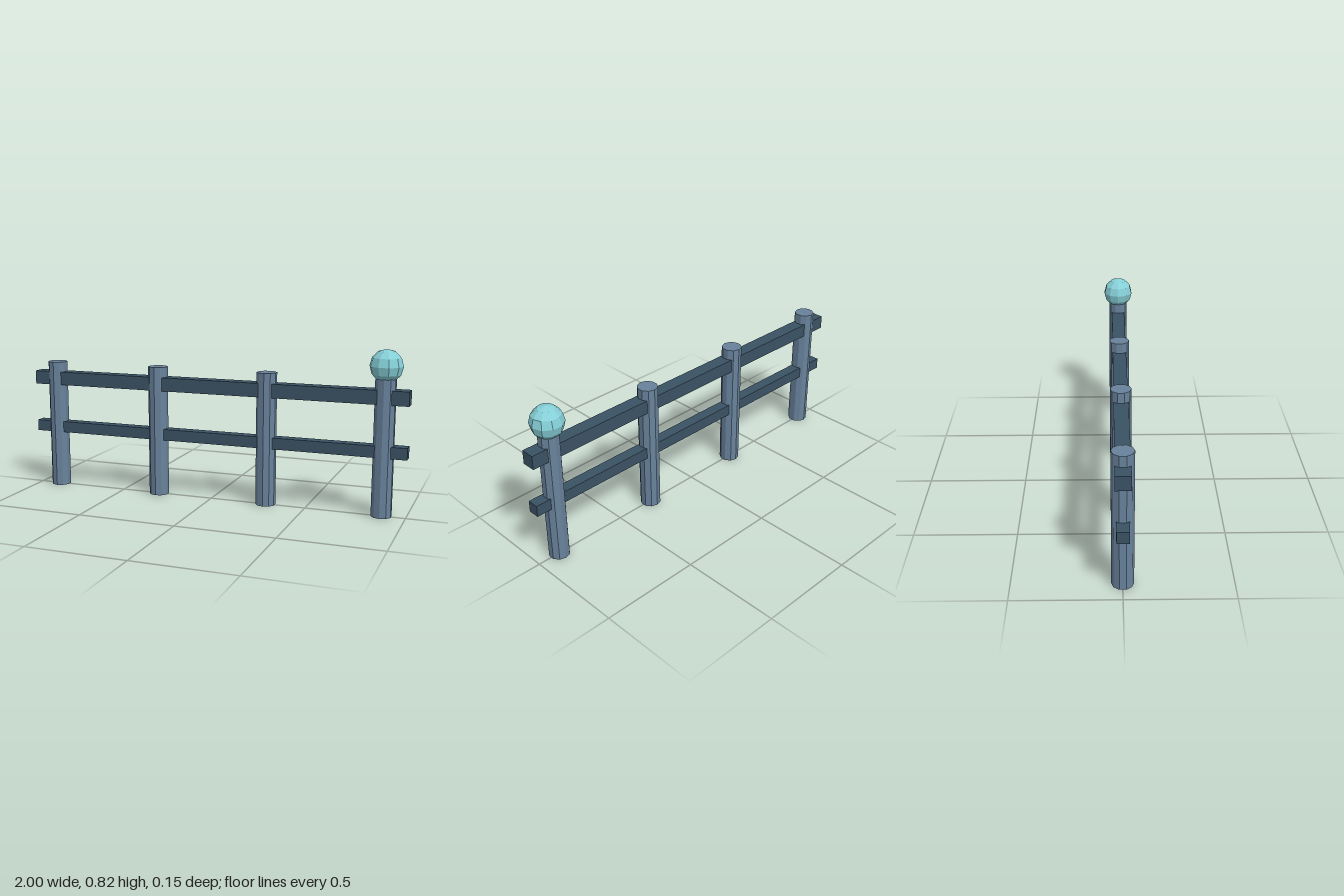
import * as THREE from 'three';

export function createModel() {
  const fence = new THREE.Group();
  fence.name = 'fence';

  const material = (name, color) => {
    const m = new THREE.MeshStandardMaterial({ color, flatShading: true });
    m.name = name;
    return m;
  };
  const postBlue = material('slate blue', 0x68829b);
  const railBlue = material('dark slate', 0x3a5264);
  const aqua = material('pale aqua', 0x86d0d8);

  const add = (name, geometry, mat, x, y) => {
    const mesh = new THREE.Mesh(geometry, mat);
    mesh.name = name;
    mesh.position.set(x, y, 0);
    fence.add(mesh);
  };

  // Four evenly spaced round posts
  const postHeight = 0.676;
  const spacing = 0.588;
  const postGeometry = new THREE.CylinderGeometry(0.051, 0.051, postHeight, 10);
  for (let i = 0; i < 4; i++) {
    add(`post${i + 1}`, postGeometry, postBlue, (i - 1.5) * spacing, postHeight / 2);
  }

  // Two square rails running through the posts
  add('upperRail', new THREE.BoxGeometry(2, 0.07, 0.07), railBlue, 0, 0.588);
  add('lowerRail', new THREE.BoxGeometry(2, 0.058, 0.058), railBlue, 0, 0.323);

  // Ball cap on the end post
  add('ballCap', new THREE.SphereGeometry(0.081, 10, 6), aqua, 1.5 * spacing, 0.735);

  return fence;
}
